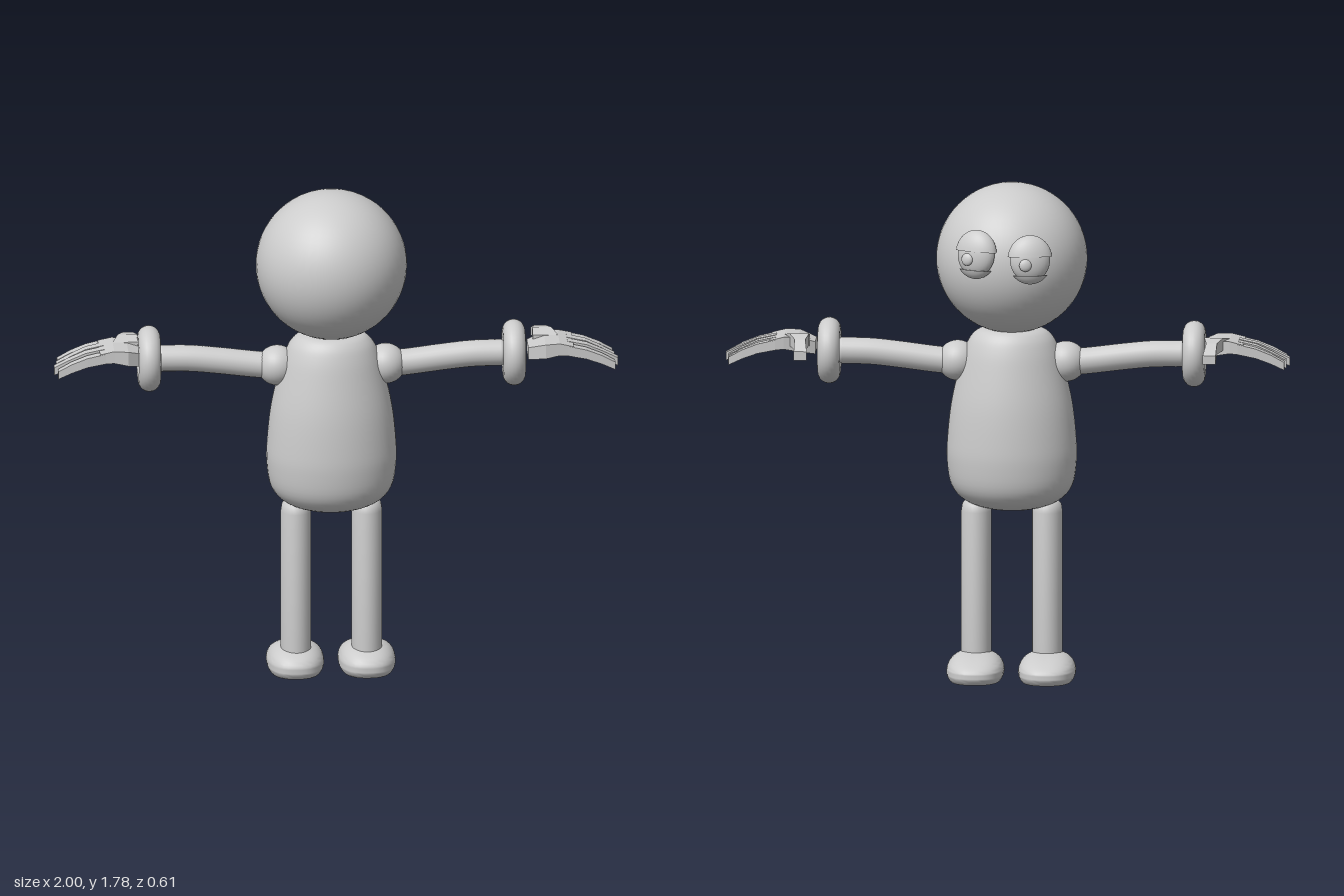
import * as THREE from 'three';
import { mergeVertices, toCreasedNormals } from 'three/addons/utils/BufferGeometryUtils.js';

const CX = -0.015; // symmetry plane of the body
const CZ = 0.033;

export function createModel() {
  const model = new THREE.Group();
  model.name = 'cartoonFigure';
  const grey = new THREE.MeshStandardMaterial({ color: 0xcccccc });
  grey.name = 'light grey';

  const add = (name, geometry, x = 0, y = 0, z = 0, parent = model) => {
    const mesh = new THREE.Mesh(geometry, grey);
    mesh.name = name;
    mesh.position.set(x, y, z);
    parent.add(mesh);
    return mesh;
  };
  const lathe = (points, segments) =>
    new THREE.LatheGeometry(points.map(([r, y]) => new THREE.Vector2(r, y)), segments);

  // Head and egg-shaped torso
  add('head', new THREE.SphereGeometry(0.268, 48, 32), CX, 1.512, CZ);
  const outline = new THREE.SplineCurve([
    [0, 0.605], [0.09, 0.612], [0.17, 0.642], [0.215, 0.695], [0.23, 0.78], [0.229, 0.86],
    [0.215, 0.99], [0.186, 1.12], [0.165, 1.19], [0.14, 1.235], [0.1, 1.258], [0, 1.262],
  ].map(([r, y]) => new THREE.Vector2(r, y))).getPoints(44);
  outline.forEach((p) => { p.x = Math.max(0, p.x); });
  const torso = new THREE.LatheGeometry(outline, 48);
  torso.scale(1, 1, 0.815);
  add('torso', torso, CX, 0, 0.037);

  // Eyes: flattened balls with lids and a raised pupil, facing -z
  const addEye = (name, x, y, z, yaw, pupilX) => {
    const eye = new THREE.Group();
    eye.name = name;
    eye.position.set(x, y, z);
    eye.rotation.set(0.12, yaw, 0, 'YXZ');
    model.add(eye);
    const squash = (g, k) => g.scale(0.076 * k, 0.083 * k, 0.043 * k);
    add('eyeball', squash(new THREE.SphereGeometry(1, 32, 20), 0.94), 0, 0, 0, eye);
    // Each lid is a shell closed by a flat rim
    const lid = (from, to) => {
      const pts = [];
      for (let i = 0; i <= 12; i++) {
        const a = from + ((to - from) * i) / 12;
        pts.push([Math.sin(a), -Math.cos(a)]);
      }
      if (from === 0) pts.push([0, -Math.cos(to)]);
      else pts.unshift([0, -Math.cos(from)]);
      return squash(toCreasedNormals(lathe(pts, 32), 0.7), 1.05);
    };
    add('upperLid', lid(Math.PI * 0.54, Math.PI), 0, 0, 0, eye);
    add('lowerLid', lid(0, Math.PI * 0.28), 0, 0, 0, eye);
    const pupil = new THREE.SphereGeometry(0.022, 20, 12);
    pupil.scale(1, 1, 0.5);
    add('pupil', pupil, pupilX, -0.018, -0.039, eye);
  };
  addEye('rightEye', -0.095, 1.558, -0.256, 0.14, 0.02);
  addEye('leftEye', 0.098, 1.568, -0.216, -0.45, 0.014);

  // Foot: domed squircle, flat sole, lower at the toe (-z)
  const footGeometry = () => {
    const g = new THREE.SphereGeometry(1, 40, 28);
    const p = g.attributes.position;
    for (let i = 0; i < p.count; i++) {
      const x = p.getX(i), y = p.getY(i), z = p.getZ(i);
      const plan = Math.hypot(x, z);
      let ux = 0, uz = 0;
      if (plan > 1e-6) {
        const norm = (Math.abs(x) ** 2.5 + Math.abs(z) ** 2.5) ** 0.4;
        const k = plan ** 0.75 / norm;
        ux = x * k;
        uz = z * k;
      }
      const toe = Math.max(0, -uz);
      const h = y > 0 ? y * (0.068 - 0.02 * toe) : Math.max(y * 0.06, -0.032);
      p.setXYZ(i, ux * 0.102, h, uz * 0.156);
    }
    g.deleteAttribute('normal');
    g.deleteAttribute('uv');
    return toCreasedNormals(mergeVertices(g, 1e-5), 0.8);
  };

  // Four-sided loft through [x, y, z, halfWidth, halfThickness]; runs along x, or along -z
  const loft = (sections, side, alongZ = false) => {
    const pos = [], idx = [];
    for (const [x, y, z, w, h] of sections) {
      for (const [v, u] of [[1, -1], [1, 1], [-1, 1], [-1, -1]]) {
        pos.push(side * (x + (alongZ ? u * w : 0)), y + v * h, z + (alongZ ? 0 : u * w));
      }
    }
    const tri = (a, b, c) => (side > 0 ? idx.push(a, b, c) : idx.push(a, c, b));
    const quad = (a, b, c, d) => { tri(a, b, c); tri(a, c, d); };
    for (let s = 0; s < sections.length - 1; s++) {
      for (let i = 0; i < 4; i++) {
        const j = (i + 1) % 4, o = s * 4;
        quad(o + i, o + j, o + 4 + j, o + 4 + i);
      }
    }
    const e = (sections.length - 1) * 4;
    quad(e, e + 1, e + 2, e + 3);
    quad(3, 2, 1, 0);
    const g = new THREE.BufferGeometry();
    g.setAttribute('position', new THREE.Float32BufferAttribute(pos, 3));
    g.setIndex(idx);
    const flat = g.toNonIndexed();
    flat.computeVertexNormals();
    return flat;
  };

  for (const side of [1, -1]) {
    const label = side > 0 ? 'left' : 'right';
    const X = (d) => CX + side * d;

    // Leg with a rounded top, and foot
    const leg = lathe([[0, 0.06], [0.054, 0.06], [0.054, 0.6], [0.05, 0.625], [0.038, 0.638], [0, 0.643]], 28);
    leg.scale(1, 1, 1.2);
    add(label + 'Leg', toCreasedNormals(leg, 0.7), X(0.126), 0, 0.036);
    add(label + 'Foot', footGeometry(), X(0.127), 0.032, -0.004);

    // Shoulder ball, bent arm and rounded arm end
    add(label + 'Shoulder', new THREE.SphereGeometry(0.072, 28, 20), X(0.192), 1.14, CZ);
    const path = new THREE.CatmullRomCurve3([[0.18, 1.135], [0.28, 1.145], [0.4, 1.16], [0.5, 1.17], [0.6, 1.172]]
      .map(([x, y]) => new THREE.Vector3(X(x), y, 0.03)));
    add(label + 'Arm', new THREE.TubeGeometry(path, 24, 0.047, 24));
    const end = new THREE.SphereGeometry(0.047, 24, 16);
    end.scale(0.5, 1, 1);
    add(label + 'ArmEnd', end, X(0.6), 1.172, 0.03);

    // Thick wrist ring
    const ring = new THREE.TorusGeometry(0.078, 0.04, 20, 40);
    ring.rotateY(Math.PI / 2);
    add(label + 'Cuff', ring, X(0.647), 1.172, 0.031);

    // Faceted hand: palm, four drooping fingers, thumb towards -z
    const hand = new THREE.Group();
    hand.name = label + 'Hand';
    model.add(hand);
    add('palm', loft([
      [0.68, 1.186, 0.045, 0.05, 0.022], [0.74, 1.202, 0.05, 0.08, 0.026],
      [0.79, 1.208, 0.042, 0.084, 0.022], [0.84, 1.2, 0.038, 0.085, 0.018],
    ], side), 0, 0, 0, hand);
    [[-0.03, 0.985], [0.012, 0.99], [0.058, 1.0], [0.106, 0.988]].forEach(([z, tip], i) => {
      const len = tip - 0.83;
      const lift = [0, 0.004, 0.004, 0][i];
      add('finger' + (i + 1), loft([
        [0.82, 1.202 + lift, z, 0.019, 0.018], [0.83 + len * 0.35, 1.188 + lift, z, 0.018, 0.017],
        [0.83 + len * 0.7, 1.167, z, 0.017, 0.016], [tip, 1.143, z, 0.015, 0.014],
      ], side), 0, 0, 0, hand);
    });
    add('thumb', loft([
      [0.745, 1.208, 0.02, 0.045, 0.022], [0.735, 1.22, -0.035, 0.034, 0.022],
      [0.73, 1.212, -0.09, 0.019, 0.02], [0.725, 1.185, -0.163, 0.023, 0.016],
    ], side, true), 0, 0, 0, hand);
  }
  return model;
}
